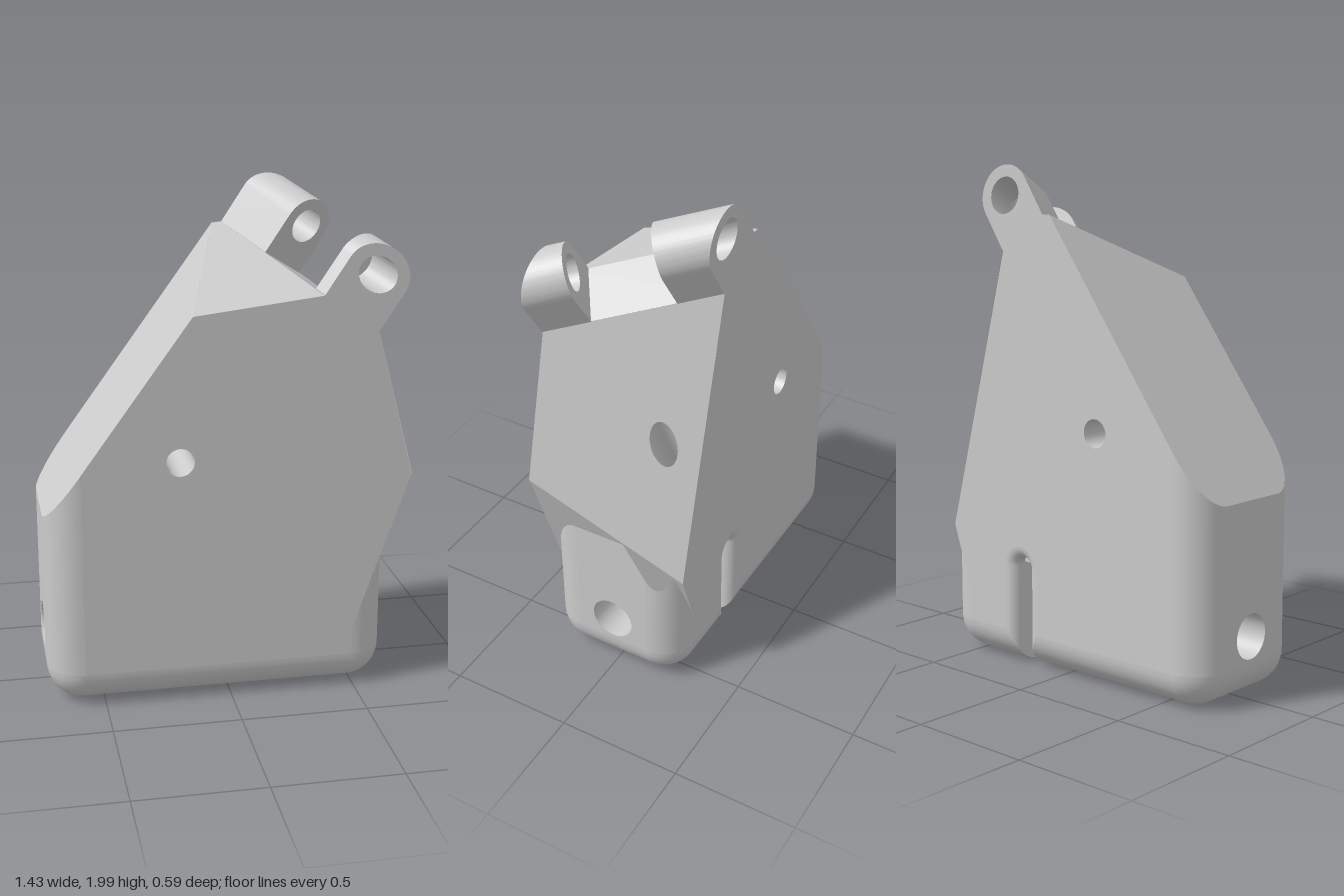
import * as THREE from 'three';
import { toCreasedNormals } from 'three/addons/utils/BufferGeometryUtils.js';

const V = (x, y, z) => new THREE.Vector3(x, y, z);
const mat = new THREE.MeshStandardMaterial({ color: 0xcccccc, side: THREE.DoubleSide });
const D = 0.295, R = 0.14;              // half depth, edge radius
const XL = -0.72, XR = 0.63;            // box sides
const CL = XL + R, CR = XR - R, CZ = D - R; // centres of the rounded corners
const CENTRE = V(0, 0.8, 0);

function mesh(geometry, name) {
  const m = new THREE.Mesh(geometry, mat);
  m.name = name;
  return m;
}

// Flat face from a 3D outline with optional 3D hole outlines
function face(name, pts, holes = []) {
  const n = V(0, 0, 0);
  pts.forEach((p, i) => n.add(p.clone().cross(pts[(i + 1) % pts.length])));
  n.normalize();
  if (n.dot(pts[0].clone().sub(CENTRE)) < 0) n.negate();
  const u = pts[1].clone().sub(pts[0]);
  u.addScaledVector(n, -u.dot(n)).normalize();
  const v = n.clone().cross(u);
  const flat = p => {
    const q = p.clone().sub(pts[0]);
    return new THREE.Vector2(q.dot(u), q.dot(v));
  };
  const shape = new THREE.Shape(pts.map(flat));
  shape.holes = holes.map(h => new THREE.Path(h.map(flat)));
  const geo = new THREE.ShapeGeometry(shape);
  geo.applyMatrix4(new THREE.Matrix4().makeBasis(u, v, n).setPosition(pts[0]));
  return mesh(geo, name);
}

// Smooth surface through rows of points
function loft(name, rows) {
  const w = rows[0].length, index = [];
  for (let i = 0; i < rows.length - 1; i++)
    for (let j = 0; j < w - 1; j++) {
      const a = i * w + j, b = a + w;
      index.push(a, b, a + 1, b, b + 1, a + 1);
    }
  const geo = new THREE.BufferGeometry().setFromPoints(rows.flat());
  geo.setIndex(index);
  geo.computeVertexNormals();
  return mesh(geo, name);
}

// Circle about the axis a-b, slid along it onto the plane through c with normal n
function bevelledRing(a, b, r, c, n) {
  const d = b.clone().sub(a).normalize();
  const u = V(0.31, 0.5, 0.81).cross(d).normalize(), v = d.clone().cross(u);
  return Array.from({ length: 32 }, (_, i) => {
    const t = i / 16 * Math.PI;
    const p = c.clone().addScaledVector(u, r * Math.cos(t)).addScaledVector(v, r * Math.sin(t));
    return p.addScaledVector(d, c.clone().sub(p).dot(n) / d.dot(n));
  });
}

function bore(name, a, b, r, na, nb) {
  const start = bevelledRing(a, b, r, a, na), end = bevelledRing(a, b, r, b, nb);
  return { start, end, wall: loft(name, [[...start, start[0]], [...end, end[0]]]) };
}

// Cable slot in the back: inverted U that narrows from a rounded mouth
const SX = 0.2, SW = 0.085, SY = 0.405, SF = 0.05;
const slotInset = d => d < SF ? Math.sqrt(SF * SF - (SF - d) ** 2) : SF;
function slotOutline(d) {
  const w = SW - slotInset(d), z = -D + d;
  const y0 = R - Math.sqrt(Math.max(0, R * R - (R - d) ** 2));
  const pts = [V(SX - w, y0, z)];
  for (let i = 0; i <= 16; i++) {
    const t = Math.PI * (1 - i / 16);
    pts.push(V(SX + w * Math.cos(t), SY + w * Math.sin(t), z));
  }
  pts.push(V(SX + w, y0, z));
  return pts;
}

export function createModel() {
  const model = new THREE.Group();
  const add = (...m) => model.add(...m);

  // Corners of the slanted upper body
  const slope = x => 1.8 + 1.38 * (x - 0.03);
  const f = [V(-0.15, 1.55, D), V(0.35, 1.61, D), V(0.56, 1.47, D), V(0.71, 0.89, D), V(CR, 0.26, D)];
  const k = [V(0.03, 1.8, -D), V(0.07, 1.8, -D), V(0.28, 1.66, -D), V(0.583, 0.527, -D), V(CR, 0.26, -D)];
  const sideNormal = f[3].clone().sub(f[2]).cross(k[2].clone().sub(f[2])).normalize();
  const sideY = (x, z) => f[3].y - (sideNormal.x * (x - f[3].x) + sideNormal.z * (z - D)) / sideNormal.y;
  const sideX = (y, z) => f[3].x - (sideNormal.y * (y - f[3].y) + sideNormal.z * (z - D)) / sideNormal.x;

  // Bores
  const X = V(1, 0, 0), Z = V(0, 0, 1);
  const pin = bore('pinHole', V(-0.2, 0.99, D), V(-0.2, 0.99, -D), 0.055, Z, Z);
  const cross = bore('crossHole', V(XL, 0.245, 0), V(XR, 0.245, 0), 0.088, X, X);
  const cable = bore('cableHole', V(sideX(1.08, -0.16), 1.08, -0.16), V(0.2, 0.42, -0.2), 0.05, sideNormal, V(0, 1, 0));
  add(pin.wall, cross.wall, cable.wall);

  // Flat faces
  add(face('frontFace', [V(CL, R, D), V(CL, slope(CL), D), ...f, V(CR, R, D)], [pin.start]));
  add(face('backFace', [V(CL, R, -D), V(CL, slope(CL), -D), ...k, V(CR, R, -D),
    ...slotOutline(0).reverse()], [pin.end]));
  add(face('topFace', [f[0], f[1], k[1], k[0]]));
  add(face('lugSeat', [f[1], f[2], k[2], k[1]]));
  add(face('slantedSide', [f[2], f[3], k[3], k[2]], [cable.start]));
  add(face('undercut', [f[3], f[4], k[4], k[3]]));
  add(face('leftSide', [V(XL, R, CZ), V(XL, slope(XL), CZ), V(XL, slope(XL), -CZ), V(XL, R, -CZ)], [cross.start]));
  const zMeet = -0.061;
  add(face('rightSide', [V(XR, R, CZ), V(XR, 0.66, CZ), V(XR, 0.66, zMeet),
    V(XR, sideY(XR, -CZ), -CZ), V(XR, R, -CZ)], [cross.end]));
  add(face('bottomFace', [V(CL, 0, CZ), V(CR, 0, CZ), V(CR, 0, -CZ), V(CL, 0, -CZ)]));

  // Sloping back with rounded lower corners
  const lower = [];
  for (const s of [1, -1])
    for (let i = 0; i <= 10; i++) {
      const t = (s > 0 ? i : 10 - i) / 10 * Math.PI / 2;
      const x = CL - R * Math.sin(t);
      lower.push(V(x, slope(x), s * (CZ + R * Math.cos(t))));
    }
  add(face('slopeFace', [f[0], ...lower, k[0]]));

  // Rounded vertical edges
  for (const cx of [CL, CR])
    for (const s of [1, -1]) {
      const low = [], high = [];
      for (let i = 0; i <= 10; i++) {
        const t = i / 20 * Math.PI;
        const x = cx + Math.sign(cx) * R * Math.sin(t), z = s * (CZ + R * Math.cos(t));
        low.push(V(x, R, z));
        high.push(V(x, cx < 0 ? slope(x) : Math.min(0.66, sideY(x, z)), z));
      }
      add(loft('roundedCorner', [low, high]));
    }

  // Rounded bottom edge, running round from one side of the slot to the other
  const rows = [];
  for (let j = 0; j <= 12; j++) {
    const phi = j / 24 * Math.PI, r = R * Math.cos(phi), y = R * (1 - Math.sin(phi));
    const w = SW - slotInset(R - r);
    const row = [V(SX + w, y, -CZ - r)];
    [[CR, -CZ], [CR, CZ], [CL, CZ], [CL, -CZ]].forEach(([cx, cz], c) => {
      for (let i = 0; i <= 8; i++) {
        const t = (c - 1 + i / 8) * Math.PI / 2;
        row.push(V(cx + r * Math.cos(t), y, cz + r * Math.sin(t)));
      }
    });
    row.push(V(SX - w, y, -CZ - r));
    rows.push(row);
  }
  add(loft('bottomEdge', rows));

  // Slot walls and floor
  const depths = [];
  for (let i = 0; i <= 8; i++) depths.push(SF * (1 - Math.cos(i / 16 * Math.PI)));
  for (let i = 1; i <= 6; i++) depths.push(SF + (R - SF) * i / 6);
  add(loft('slotWall', depths.map(slotOutline)));
  add(face('slotFloor', slotOutline(R)));

  // Two hinge lugs on the seat, sharing one axis and trimmed flush with front and back
  const e = f[2].clone().sub(k[2]).normalize();
  const u = f[2].clone().sub(f[1]);
  u.addScaledVector(e, -u.dot(e)).normalize();
  const n = e.clone().cross(u);
  const seat = f[1].clone().add(f[2]).multiplyScalar(0.5);
  const LW = 0.112, LH = 0.17;
  const outline = new THREE.Shape();
  outline.moveTo(-LW, 0).lineTo(LW, 0).lineTo(LW, LH);
  outline.absarc(0, LH, LW, 0, Math.PI, false);
  outline.lineTo(-LW, 0);
  outline.holes.push(new THREE.Path().absarc(0, LH, 0.068, 0, Math.PI * 2, true));

  for (const [name, zIn, zOut] of [['frontLug', 0.19, D], ['backLug', -0.09, -D]]) {
    const geo = new THREE.ExtrudeGeometry(outline, { depth: 1, bevelEnabled: false, curveSegments: 24 });
    const origin = seat.clone().addScaledVector(e, (zIn - D) / e.z);
    if (zOut < 0) geo.translate(0, 0, -1);
    const pos = geo.attributes.position, p = V(0, 0, 0);
    for (let i = 0; i < pos.count; i++) {
      p.fromBufferAttribute(pos, i);
      const outer = Math.abs(p.z) > 0.5;
      const q = origin.clone().addScaledVector(u, p.x).addScaledVector(n, p.y);
      if (outer) q.addScaledVector(e, (zOut - q.z) / e.z);
      pos.setXYZ(i, q.x, q.y, q.z);
    }
    add(mesh(toCreasedNormals(geo, 0.5), name));
  }
  return model;
}
